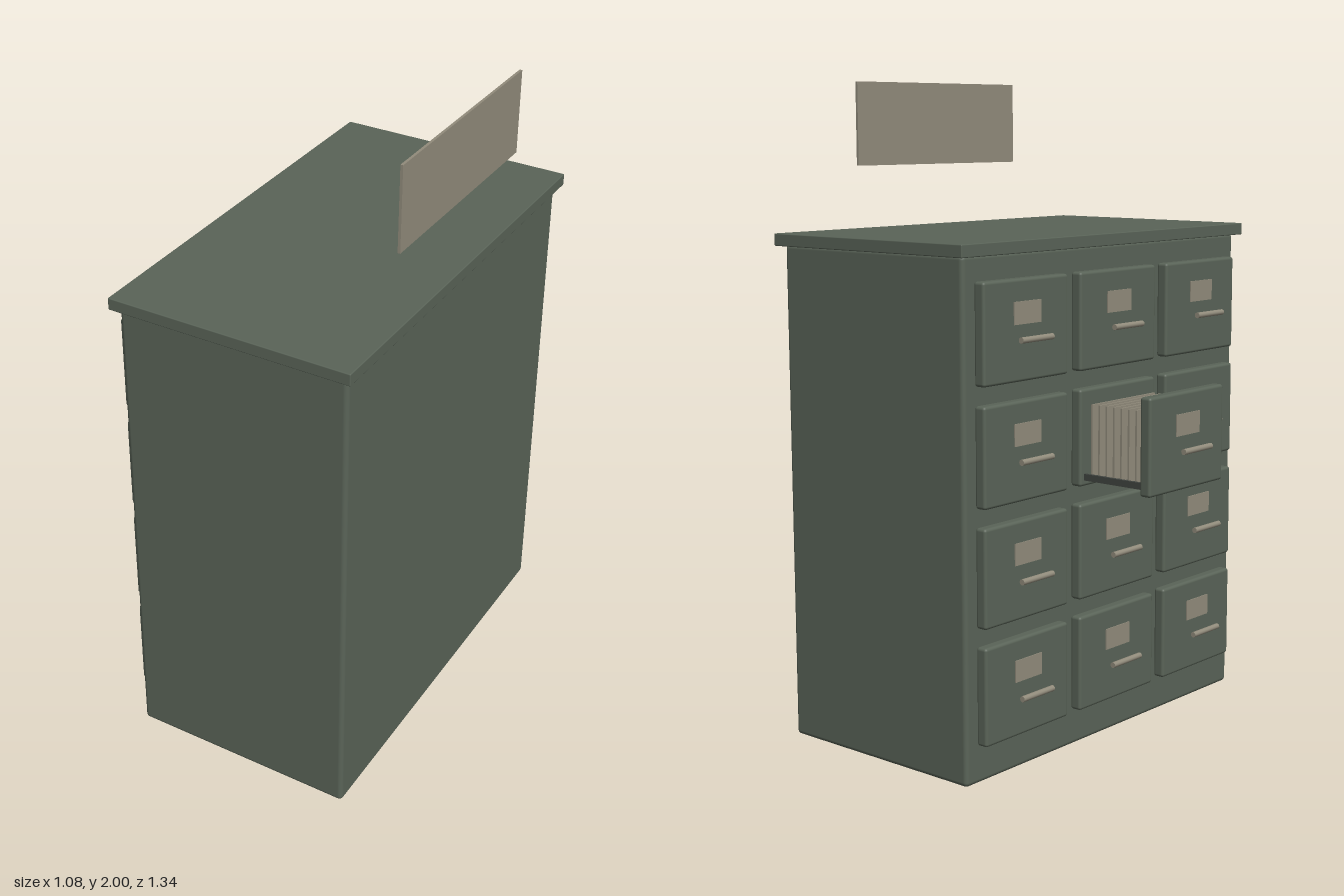
import * as THREE from 'three';
import { RoundedBoxGeometry } from 'three/addons/geometries/RoundedBoxGeometry.js';

export function createModel() {
  const model = new THREE.Group();
  model.name = 'filingCabinet';

  const mat = (name, color) => {
    const m = new THREE.MeshStandardMaterial({ color });
    m.name = name;
    return m;
  };
  const green = mat('cabinetGreen', 0x5a6458);
  const dark = mat('trayDark', 0x414541);
  const tan = mat('paperTan', 0x928c7c);

  const add = (parent, name, geometry, material, x, y, z) => {
    const mesh = new THREE.Mesh(geometry, material);
    mesh.name = name;
    mesh.position.set(x, y, z);
    parent.add(mesh);
    return mesh;
  };
  const box = (w, h, d) => new THREE.BoxGeometry(w, h, d);

  // Cabinet body and overhanging top
  add(model, 'body', new RoundedBoxGeometry(0.72, 1.52, 1.296, 3, 0.014), green, 0.155, 0.76, 0);
  add(model, 'topSlab', new RoundedBoxGeometry(0.76, 0.037, 1.342, 2, 0.003), green, 0.155, 1.533, 0);

  // Drawer face with label and bar handle; the origin is the centre of its outer face
  const frontGeo = new RoundedBoxGeometry(0.038, 0.292, 0.364, 3, 0.009);
  const labelGeo = box(0.004, 0.065, 0.115);
  const handleGeo = new THREE.CylinderGeometry(0.009, 0.009, 0.135, 12).rotateX(Math.PI / 2);
  const addDrawer = (name, x, y, z) => {
    const drawer = new THREE.Group();
    drawer.name = name;
    drawer.position.set(x, y, z);
    add(drawer, 'drawerFront', frontGeo, green, 0.019, 0, 0);
    add(drawer, 'label', labelGeo, tan, -0.001, 0.05, 0);
    add(drawer, 'handle', handleGeo, tan, -0.036, -0.022, 0);
    model.add(drawer);
  };

  // Four rows of three closed drawers
  for (let row = 0; row < 4; row++) {
    for (let col = -1; col <= 1; col++) {
      addDrawer('drawer', -0.241, 0.262 + row * 0.346, col * 0.42);
    }
  }

  // Pulled-out drawer with its tray and side rails
  addDrawer('openDrawer', -0.498, 0.955, 0);
  add(model, 'tray', box(0.28, 0.014, 0.33), dark, -0.355, 0.833, 0);
  for (const side of [-1, 1]) {
    add(model, 'trayRail', box(0.28, 0.02, 0.01), dark, -0.355, 0.836, side * 0.16);
  }

  // Upright file cards
  const cardGeo = box(0.006, 0.22, 0.305);
  for (let i = 0; i < 8; i++) {
    add(model, 'fileCard', cardGeo, tan, -0.452 + i * 0.0274, 0.945, 0);
  }

  // Sign panel raised above the back edge
  add(model, 'signPanel', box(0.008, 0.255, 0.716), tan, 0.5, 1.8725, 0);

  return model;
}
